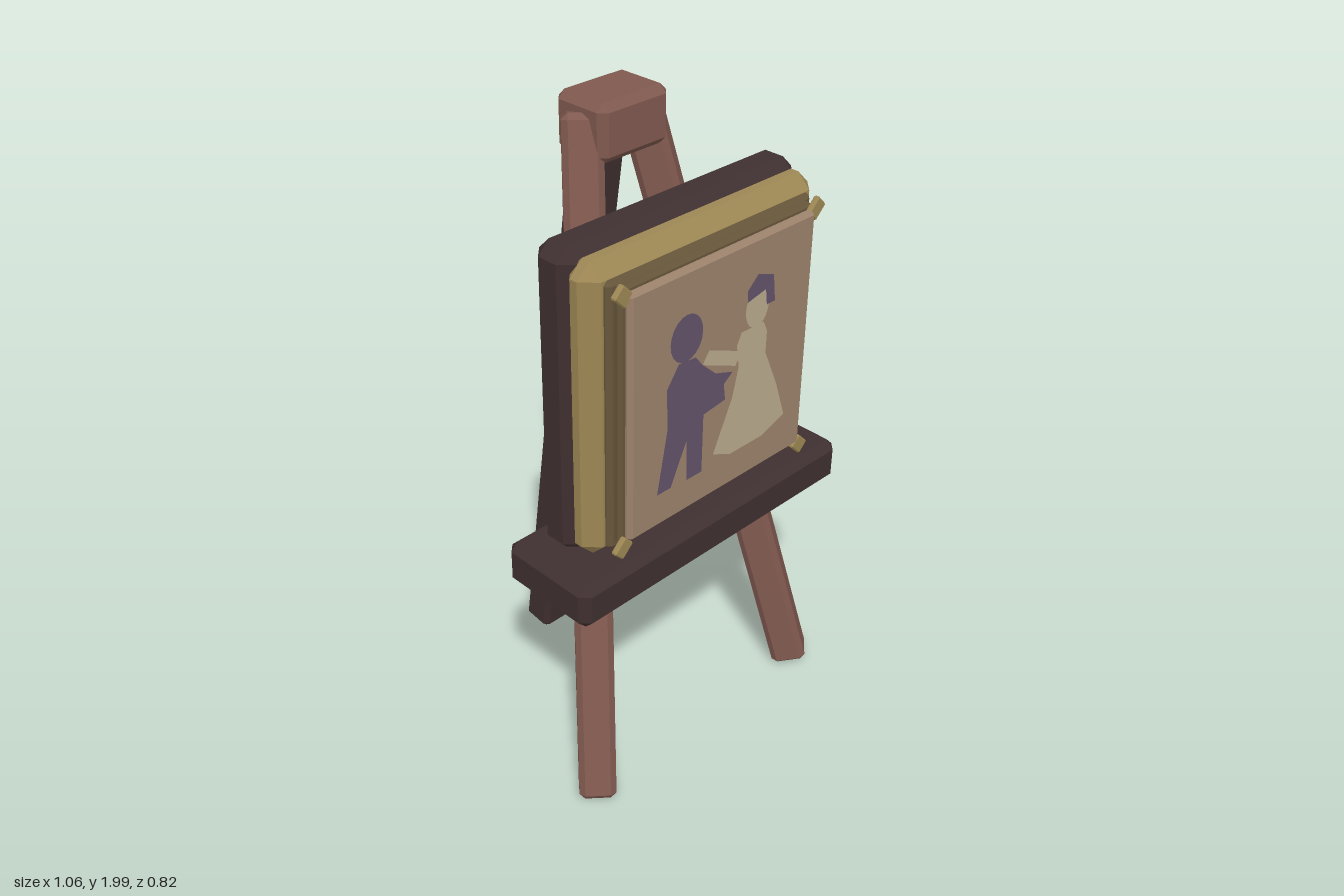
import * as THREE from 'three';
import { ConvexGeometry } from 'three/addons/geometries/ConvexGeometry.js';

const material = (name, color, options = {}) => {
  const m = new THREE.MeshStandardMaterial({ color, ...options });
  m.name = name;
  return m;
};

// Box with every edge and corner cut flat
function chamferBox(w, h, d, c) {
  const half = [w / 2, h / 2, d / 2];
  const points = [];
  for (const sx of [-1, 1]) for (const sy of [-1, 1]) for (const sz of [-1, 1]) {
    for (let full = 0; full < 3; full++) {
      const [x, y, z] = half.map((v, i) => (i === full ? v : v - c));
      points.push(new THREE.Vector3(sx * x, sy * y, sz * z));
    }
  }
  return new ConvexGeometry(points);
}

export function createModel() {
  const model = new THREE.Group();
  model.name = 'easel';

  const flat = { flatShading: true };
  const thin = { side: THREE.DoubleSide };
  const darkWood = material('dark wood', 0x3f2f30, flat);
  const redWood = material('red wood', 0x80594f, flat);
  const gold = material('gold', 0x9c8653, flat);
  const bronze = material('bronze', 0x66553a, flat);
  const canvas = material('canvas', 0x9c826c, flat);
  const purple = material('purple paint', 0x62536a, thin);
  const cream = material('cream paint', 0xb9aa8e, thin);

  const add = (name, geometry, mat) => {
    const mesh = new THREE.Mesh(geometry, mat);
    mesh.name = name;
    model.add(mesh);
    return mesh;
  };

  // Chamfered block given by its min and max on each axis
  const block = (name, mat, [x0, x1], [y0, y1], [z0, z1], c) => {
    const mesh = add(name, chamferBox(x1 - x0, y1 - y0, z1 - z0, c), mat);
    mesh.position.set((x0 + x1) / 2, (y0 + y1) / 2, (z0 + z1) / 2);
    return mesh;
  };

  // Leg between two end centres, turned so one side faces its lean
  const leg = (name, mat, foot, top, w, d) => {
    const a = new THREE.Vector3(...foot);
    const b = new THREE.Vector3(...top);
    const up = b.clone().sub(a);
    const mesh = add(name, chamferBox(w, up.length(), d, 0.017), mat);
    const lean = new THREE.Vector3(-up.x, 0, -up.z);
    up.normalize();
    const side = new THREE.Vector3().crossVectors(up, lean).normalize();
    const out = new THREE.Vector3().crossVectors(side, up);
    mesh.quaternion.setFromRotationMatrix(new THREE.Matrix4().makeBasis(side, up, out));
    mesh.position.copy(a).add(b).multiplyScalar(0.5);
  };

  // Tripod
  leg('rightFrontLeg', redWood, [-0.44, 0.02, 0.35], [-0.1, 1.955, -0.045], 0.11, 0.11);
  leg('leftFrontLeg', redWood, [0.44, 0.02, 0.35], [0.1, 1.955, -0.045], 0.11, 0.11);
  leg('backLeg', darkWood, [0, 0.025, -0.357], [0, 1.855, -0.093], 0.133, 0.108);
  block('topBlock', redWood, [-0.125, 0.125], [1.835, 2], [-0.128, 0.06], 0.022);

  // Shelf and backing board
  block('shelf', darkWood, [-0.528, 0.528], [0.722, 0.862], [0.082, 0.405], 0.026);
  block('backBoard', darkWood, [-0.437, 0.437], [0.84, 1.765], [0.12, 0.258], 0.037);

  // Picture frame in steps
  block('outerFrame', gold, [-0.43, 0.43], [0.86, 1.745], [0.22, 0.33], 0.042);
  block('innerFrame', bronze, [-0.381, 0.381], [0.892, 1.702], [0.3, 0.347], 0.012);
  block('innerStep', bronze, [-0.362, 0.362], [0.912, 1.69], [0.32, 0.368], 0.01);
  block('picturePanel', canvas, [-0.35, 0.35], [0.926, 1.678], [0.362, 0.392], 0.012);

  // Diamond studs at the frame corners
  for (const x of [-0.362, 0.362]) for (const y of [0.912, 1.674]) {
    const stud = add('cornerStud', chamferBox(0.045, 0.055, 0.018, 0.004), gold);
    stud.position.set(x, y, 0.375);
    stud.rotation.z = (Math.sign(x) * (y > 1.3 ? -1 : 1) * Math.PI) / 4;
  }

  // Painted couple, as flat shapes just off the panel
  const paint = (name, mat, layer, points) => {
    const shape = new THREE.Shape(points.map(([x, y]) => new THREE.Vector2(x, y)));
    add(name, new THREE.ShapeGeometry(shape), mat).position.z = 0.3935 + layer * 0.0015;
  };
  const paintOval = (name, mat, layer, x, y, rx, ry) => {
    const mesh = add(name, new THREE.CircleGeometry(1, 20), mat);
    mesh.scale.set(rx, ry, 1);
    mesh.position.set(x, y, 0.3935 + layer * 0.0015);
  };

  paint('paintedSuit', purple, 0, [
    [-0.177, 1.415], [-0.114, 1.41], [-0.087, 1.376], [-0.034, 1.328], [0.034, 1.305],
    [0, 1.28], [0.008, 1.228], [-0.077, 1.217], [-0.077, 1.032], [-0.135, 1.032],
    [-0.14, 1.164], [-0.198, 1.037], [-0.25, 1.037], [-0.214, 1.233], [-0.22, 1.354],
  ]);
  paintOval('paintedManHead', purple, 1, -0.151, 1.482, 0.06, 0.069);
  paint('paintedArm', cream, 2, [[-0.066, 1.413], [0.065, 1.358], [0.04, 1.322], [-0.09, 1.378]]);
  paint('paintedDress', cream, 1, [
    [0.061, 1.415], [0.15, 1.415], [0.166, 1.38], [0.165, 1.312], [0.22, 1.19], [0.262, 1.07],
    [0.17, 1.037], [0.035, 1.037], [-0.034, 1.069], [0.035, 1.222], [0.056, 1.312], [0.045, 1.38],
  ]);
  paintOval('paintedWomanHead', cream, 2, 0.119, 1.472, 0.046, 0.062);
  paint('paintedHair', purple, 3, [
    [0.075, 1.535], [0.114, 1.572], [0.177, 1.55], [0.188, 1.466], [0.155, 1.466],
    [0.148, 1.515], [0.1, 1.505], [0.077, 1.5],
  ]);

  return model;
}
